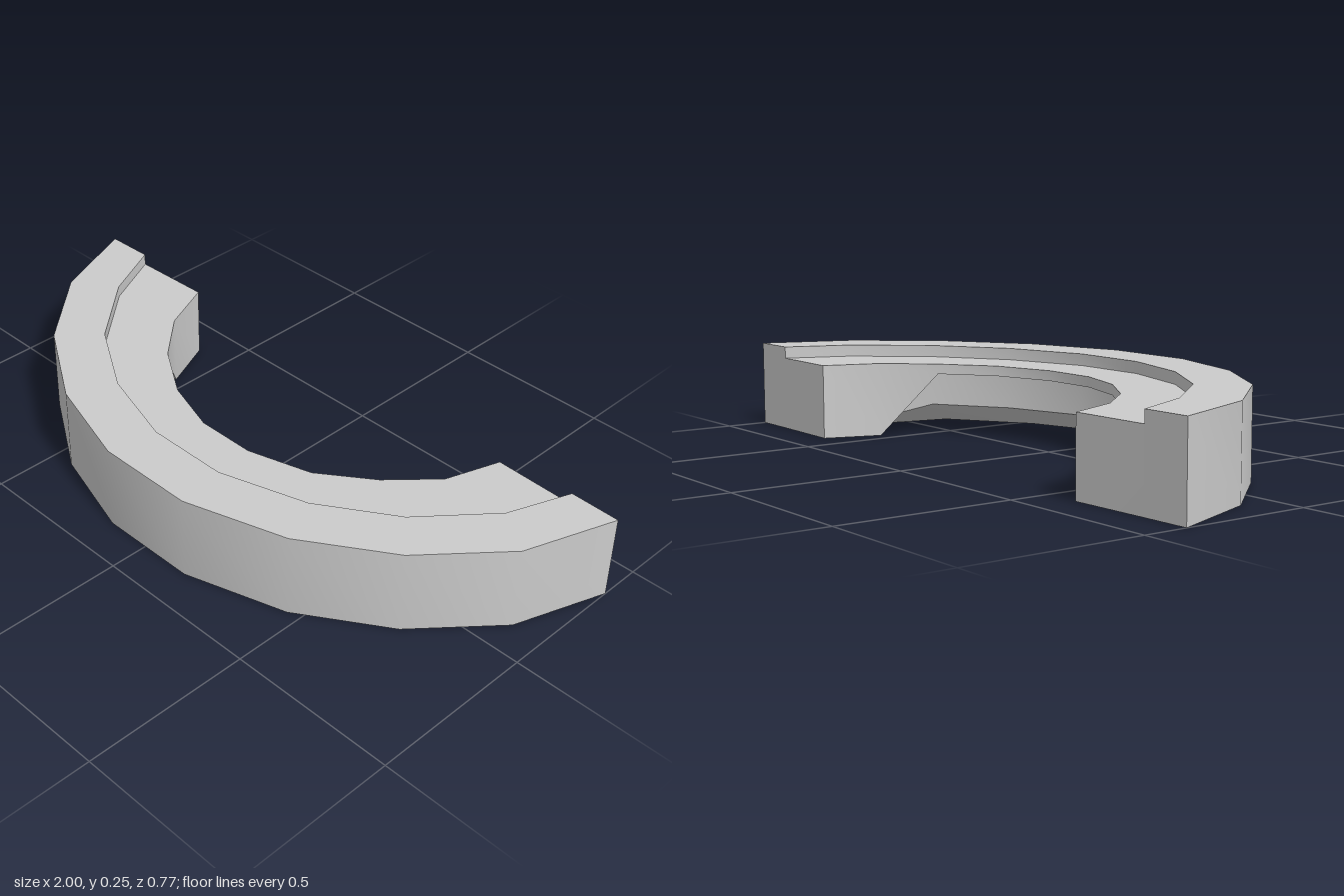
import * as THREE from 'three';
import { toCreasedNormals } from 'three/addons/utils/BufferGeometryUtils.js';

// Plan curves [x, z], running from the -x end to the +x end
const OUTER = [[-1, -0.375], [-0.89, -0.1], [-0.69, 0.13], [-0.43, 0.295], [-0.14, 0.383],
  [0.16, 0.383], [0.46, 0.29], [0.71, 0.125], [0.905, -0.1], [1, -0.375]];
const MIDDLE = [[-0.855, -0.378], [-0.765, -0.19], [-0.59, 0.015], [-0.365, 0.155], [-0.115, 0.23],
  [0.135, 0.23], [0.395, 0.15], [0.61, 0.01], [0.78, -0.19], [0.85, -0.378]];
const INNER = [[-0.61, -0.385], [-0.54, -0.22], [-0.42, -0.085], [-0.26, 0.02], [-0.09, 0.075],
  [0.09, 0.075], [0.28, 0.02], [0.43, -0.09], [0.55, -0.22], [0.605, -0.385]];

const RIM_TOP = 0.255, STEP_TOP = 0.22, LEDGE_UNDER = 0.19, RIM_LIP = 0.07;

// Cross-section at station i: solid down to the ground at the ends, hollowed below between them
function section(i) {
  const last = OUTER.length - 1;
  const solid = i < 2 || i > last - 2;
  const lip = solid ? 0 : RIM_LIP;
  const under = solid ? 0 : LEDGE_UNDER;
  const at = ([x, z], y) => new THREE.Vector3(x, y, z);
  const o = OUTER[i], m = MIDDLE[i], n = INNER[i];
  return [at(o, 0), at(m, lip), at(m, under), at(n, under),
    at(n, STEP_TOP), at(m, STEP_TOP), at(m, RIM_TOP), at(o, RIM_TOP)];
}

function archGeometry() {
  const rings = OUTER.map((_, i) => section(i));
  const positions = [];
  const tri = (a, b, c) => {
    const area = new THREE.Triangle(a, b, c).getArea();
    if (area > 1e-7) for (const p of [a, b, c]) positions.push(p.x, p.y, p.z);
  };
  const quad = (a, b, c, d) => { tri(a, b, c); tri(a, c, d); };

  // Skin between neighbouring sections
  for (let i = 0; i < rings.length - 1; i++) {
    const r = rings[i], s = rings[i + 1];
    for (let j = 0; j < r.length; j++) {
      const k = (j + 1) % r.length;
      quad(r[j], r[k], s[k], s[j]);
    }
  }

  // Stepped end faces
  const a = rings[0], b = rings[rings.length - 1];
  for (const [p, q, r, s] of [[0, 1, 6, 7], [2, 3, 4, 5]]) {
    quad(a[s], a[r], a[q], a[p]);
    quad(b[p], b[q], b[r], b[s]);
  }

  const geometry = new THREE.BufferGeometry();
  geometry.setAttribute('position', new THREE.Float32BufferAttribute(positions, 3));
  return toCreasedNormals(geometry, 0.6);
}

export function createModel() {
  const model = new THREE.Group();
  model.name = 'steppedArch';
  const arch = new THREE.Mesh(archGeometry(), new THREE.MeshStandardMaterial({ color: 0xcccccc }));
  arch.name = 'archBody';
  model.add(arch);
  return model;
}
